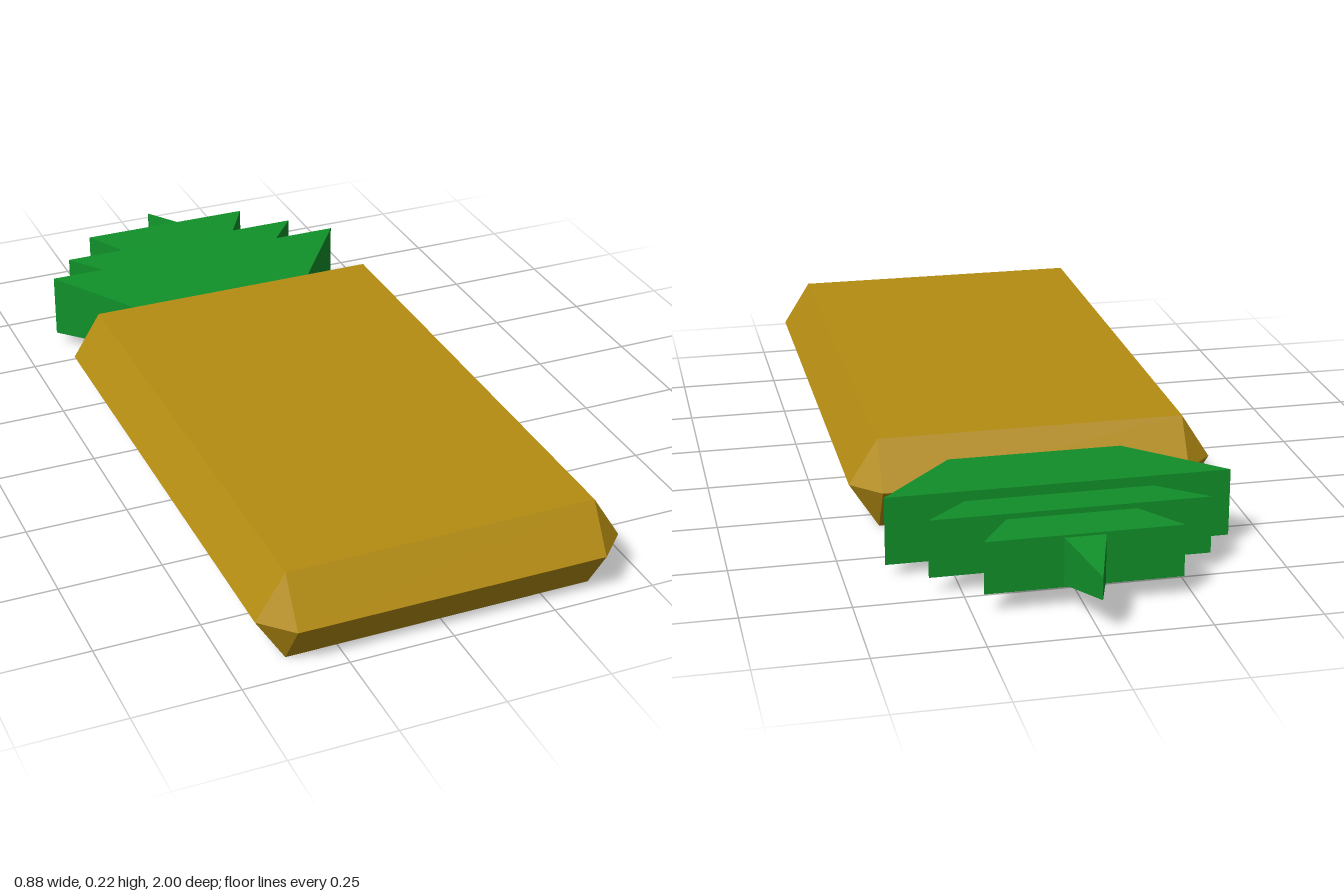
import * as THREE from 'three';
import { ConvexGeometry } from 'three/addons/geometries/ConvexGeometry.js';

const MID_Y = 0.111;

// Block running from zFront to zBack, with its own half width and half height at each end
function taperedBlock(zFront, zBack, front, back) {
  const geometry = new THREE.BoxGeometry(2, 2, 2).toNonIndexed();
  const p = geometry.attributes.position;
  for (let i = 0; i < p.count; i++) {
    const isFront = p.getZ(i) > 0;
    const [w, h] = isFront ? front : back;
    p.setXYZ(i, p.getX(i) * w, MID_Y + p.getY(i) * h, isFront ? zFront : zBack);
  }
  geometry.computeVertexNormals();
  return geometry;
}

// Slab whose edges are all bevelled to a wider octagonal waist
function bevelledSlab(halfX, halfY, zBack, zFront, bevel) {
  const points = [];
  for (const sx of [-1, 1]) {
    for (const [z, sz] of [[zBack, -1], [zFront, 1]]) {
      const x = sx * halfX;
      points.push(
        new THREE.Vector3(x, MID_Y + halfY, z),
        new THREE.Vector3(x, MID_Y - halfY, z),
        new THREE.Vector3(x + sx * bevel, MID_Y, z),
        new THREE.Vector3(x, MID_Y, z + sz * bevel)
      );
    }
  }
  return new ConvexGeometry(points);
}

export function createModel() {
  const model = new THREE.Group();
  model.name = 'pineapple';

  const gold = new THREE.MeshStandardMaterial({ color: 0xb58d12, flatShading: true });
  gold.name = 'golden rind';
  const green = new THREE.MeshStandardMaterial({ color: 0x11902a, flatShading: true });
  green.name = 'leaf green';

  // Fruit lying flat
  const body = new THREE.Mesh(bevelledSlab(0.372, MID_Y, -0.32, 0.93, 0.07), gold);
  body.name = 'fruitBody';
  model.add(body);

  // Crown: flaring tiers and a pointed tip; [zFront, zBack, front, back]
  const crown = new THREE.Group();
  crown.name = 'leafCrown';
  const tiers = [
    ['lowerLeaves', -0.355, -0.608, [0.21, 0.059], [0.404, 0.082]],
    ['middleLeaves', -0.608, -0.724, [0.22, 0.058], [0.325, 0.069]],
    ['upperLeaves', -0.724, -0.848, [0.15, 0.056], [0.226, 0.062]],
    ['leafTip', -0.848, -1, [0.047, 0.056], [0.0005, 0.027]],
  ];
  for (const [name, ...shape] of tiers) {
    const leaves = new THREE.Mesh(taperedBlock(...shape), green);
    leaves.name = name;
    crown.add(leaves);
  }
  model.add(crown);

  return model;
}
